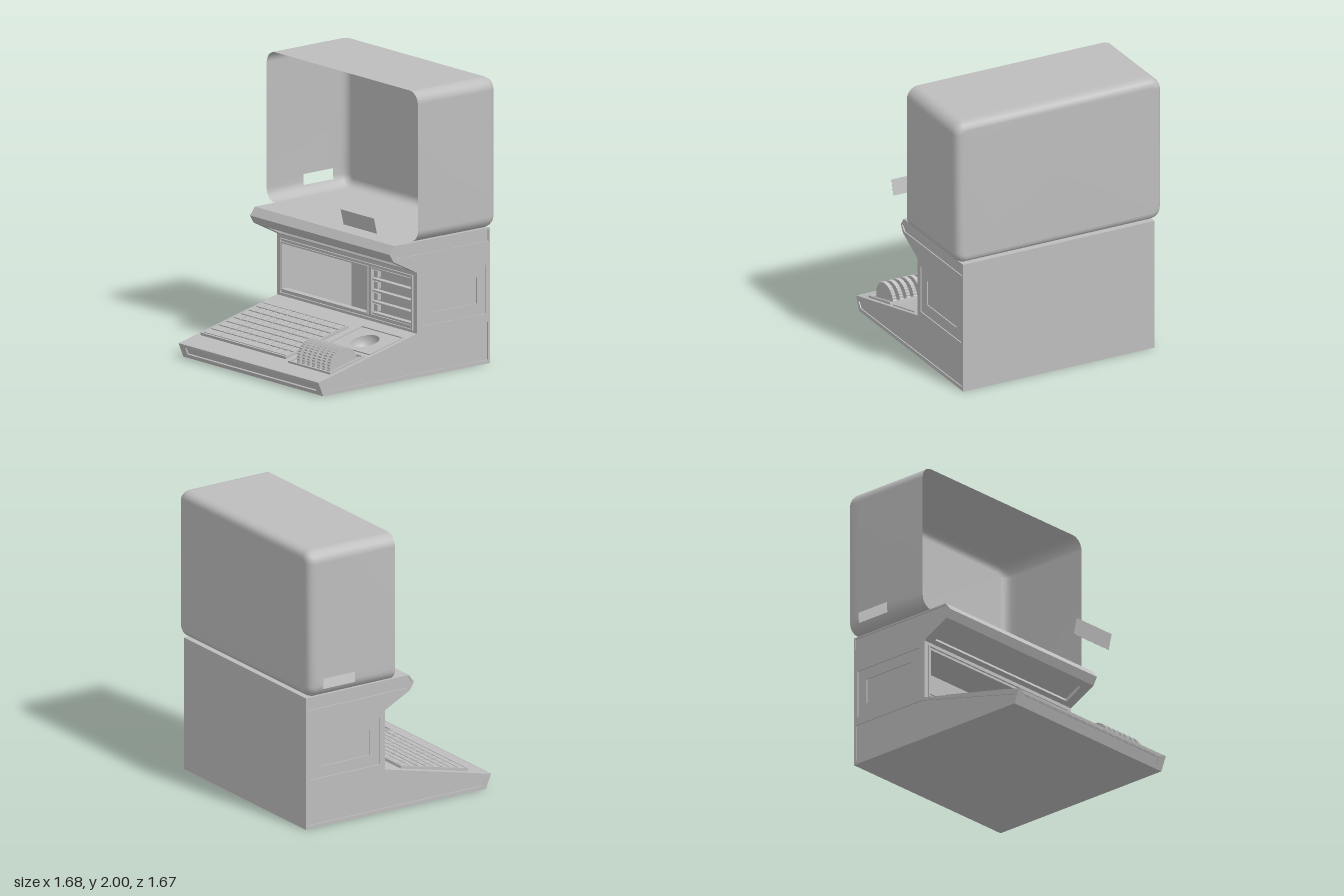
import * as THREE from 'three';

const grey = new THREE.MeshStandardMaterial({ color: 0xbdbdbd, side: THREE.DoubleSide });
grey.name = 'grey plastic';

function add(parent, name, geometry, x = 0, y = 0, z = 0) {
  const m = new THREE.Mesh(geometry, grey);
  m.name = name;
  m.position.set(x, y, z);
  parent.add(m);
  return m;
}
const poly = pts => new THREE.Shape(pts.map(p => new THREE.Vector2(...p)));
const rect = (x0, y0, x1, y1) => [[x0, y0], [x1, y0], [x1, y1], [x0, y1]];
function extrude(outline, holes, depth) {
  const s = poly(outline);
  s.holes = holes.map(h => (Array.isArray(h) ? poly(h) : h));
  return new THREE.ExtrudeGeometry(s, { depth, bevelEnabled: false, curveSegments: 24 });
}
// Raised border around a rectangle
function rim(parent, name, x0, y0, x1, y1, w, h) {
  add(parent, name, extrude(rect(x0, y0, x1, y1), [rect(x0 + w, y0 + w, x1 - w, y1 - w)], h));
}

// Side outline of the cabinet as [z, y]
const P = [[0.72, 0], [0.762, 0.1], [-0.106, 0.305], [-0.106, 0.73], [0.1, 0.835],
  [0.132, 0.89], [0.09, 0.945], [-0.75, 0.945], [-0.75, 0]];
const HALF = 0.7365, INNER = 0.7;

// Wall along edge i of the outline: x across, y along the edge, z outward
function wall(parent, name, i, holes = [], t = 0.02) {
  const [z0, y0] = P[i], [z1, y1] = P[(i + 1) % P.length];
  const len = Math.hypot(z1 - z0, y1 - y0), a = (y1 - y0) / len, b = (z1 - z0) / len;
  const g = new THREE.Group();
  g.name = name;
  g.matrix.makeBasis(new THREE.Vector3(1, 0, 0), new THREE.Vector3(0, a, b), new THREE.Vector3(0, -b, a));
  g.quaternion.setFromRotationMatrix(g.matrix);
  g.position.set(0, y0, z0);
  add(g, name + 'Panel', extrude(rect(-INNER, 0, INNER, len), holes, t), 0, 0, -t);
  parent.add(g);
  return g;
}

// Layered sides with stepped, recessed panels
function addSides(parent) {
  const outer = [
    [[0.729, 0.069], [0.698, 0.027], [-0.732, 0.027], [-0.732, 0.29], [-0.129, 0.29]],
    rect(-0.717, 0.35, -0.145, 0.689),
    [[0.116, 0.89], [0.09, 0.933], [-0.736, 0.933], [-0.736, 0.853], [0.079, 0.853]],
  ];
  const layers = [[INNER, 0.7205, []], [0.7205, 0.7285, [rect(-0.641, 0.43, -0.225, 0.61)]], [0.7285, HALF, outer]];
  for (const s of [1, -1]) for (const [x0, x1, holes] of layers) {
    const geo = extrude(P, holes, x1 - x0).rotateY(-Math.PI / 2);
    add(parent, 'sideWall', geo, s > 0 ? x1 : -x0);
  }
}

function addKeyboard(deck) {
  const x0 = -0.683, x1 = 0.191, pitch = 0.0665, d0 = 0.18;
  rim(deck, 'keyboardRim', -0.695, 0.166, 0.203, 0.732, 0.012, 0.02);
  const lead = [0.17, 0.15, 0.12, 0.1, 0.08, 0.066, 0.066, 0.066];
  lead.forEach((first, r) => {
    let x = x0, n = 0;
    while (x < x1 - 0.01) {
      let w = n === 0 ? first : r === 0 && n === 1 ? 0.5 : pitch;
      if (x1 - x - w < 0.045) w = x1 - x;
      add(deck, 'key', new THREE.BoxGeometry(w - 0.009, 0.057, 0.02), x + w / 2, d0 + 0.0675 * (r + 0.5), 0.01);
      x += w;
      n++;
    }
  });
}

// Open-fronted rounded hood, lofted from rounded rectangles
function hoodGeometry() {
  const rows = [[-0.065, 0], [-0.39, 0], [-0.65, 0], [-0.7, 0], [-0.725, 0.006], [-0.745, 0.018], [-0.757, 0.036], [-0.762, 0.06]];
  const pos = [], idx = [], cy = 1.4755;
  let n = 0;
  for (const [z, inset] of rows) {
    const r = 0.085 - inset, hx = 0.7975 - 0.085, hy = 0.5245 - 0.085;
    const start = pos.length;
    [[1, 1], [-1, 1], [-1, -1], [1, -1]].forEach(([sx, sy], c) => {
      for (let k = 0; k <= 5; k++) {
        const a = (c + k / 5) * Math.PI / 2;
        pos.push(sx * hx + r * Math.cos(a), cy + sy * hy + r * Math.sin(a), z);
      }
      if (c === 1) pos.push(-hx - r, 1.085, z);
    });
    n = (pos.length - start) / 3;
  }
  const last = rows.length - 1;
  for (let r = 0; r < last; r++) for (let i = 0; i < n; i++) {
    if (r === 1 && (i === 12 || i === 13)) continue; // small opening low in one side
    const j = (i + 1) % n, a = r * n + i, b = r * n + j;
    idx.push(a, a + n, b, b, a + n, b + n);
  }
  pos.push(0, cy, -0.762);
  for (let i = 0; i < n; i++) idx.push((last + 1) * n, last * n + (i + 1) % n, last * n + i);
  const g = new THREE.BufferGeometry();
  g.setAttribute('position', new THREE.Float32BufferAttribute(pos, 3));
  g.setIndex(idx);
  g.computeVertexNormals();
  return g;
}

export function createModel() {
  const root = new THREE.Group();
  root.name = 'arcadeConsole';
  const body = new THREE.Group();
  body.name = 'cabinet';
  root.add(body);
  root.rotation.y = -0.1075;
  body.position.x = -0.0315;

  addSides(body);

  // Front lip with a long groove
  const lip = wall(body, 'frontLip', 0, [rect(-0.68, 0.03, 0.68, 0.08)], 0.012);
  add(lip, 'lipGroove', new THREE.BoxGeometry(1.4, 0.1, 0.01), 0, 0.054, -0.017);

  // Sloping deck with a bowl, keyboard and thumb wheels
  const bowlHole = new THREE.Path().absarc(0.488, 0.637, 0.1, 0, Math.PI * 2, true);
  const deck = wall(body, 'deck', 1, [bowlHole]);
  add(deck, 'bowl', new THREE.SphereGeometry(0.1, 32, 12, 0, Math.PI * 2, Math.PI / 2, Math.PI / 2).rotateX(Math.PI / 2), 0.488, 0.637, 0);
  rim(deck, 'bowlRim', 0.27, 0.487, 0.71, 0.8, 0.01, 0.008);
  addKeyboard(deck);
  rim(deck, 'wheelRim', 0.265, 0.133, 0.71, 0.445, 0.012, 0.015);
  for (let i = 0; i < 7; i++) {
    const x = 0.336 + i * 0.053;
    rim(deck, 'wheelSlot', x - 0.02, 0.145, x + 0.02, 0.43, 0.004, 0.006);
    // half wheel with a ribbed edge
    const pts = [[-0.125, 0], [0.125, 0]];
    for (let k = 1; k < 40; k++) {
      const a = k / 40 * Math.PI, r = k % 2 ? 0.125 : 0.119;
      pts.push([r * Math.cos(a), r * Math.sin(a)]);
    }
    const wheel = add(deck, 'thumbWheel', extrude(pts, [], 0.028), x - 0.014, 0.288, 0);
    wheel.setRotationFromMatrix(new THREE.Matrix4().makeBasis(
      new THREE.Vector3(0, 1, 0), new THREE.Vector3(0, 0, 1), new THREE.Vector3(1, 0, 0)));
  }

  // Upright face: open screen bay and four shallow slots (heights measured from y = 0.305)
  const slots = [0.063, 0.141, 0.22, 0.299].map(y => [y, y + 0.067]);
  const face = wall(body, 'uprightFace', 2,
    [rect(-0.68, 0.05, 0.218, 0.368), ...slots.map(([a, b]) => rect(0.27, a, 0.69, b))], 0.04);
  rim(face, 'screenRim', -0.69, 0.04, 0.228, 0.378, 0.01, 0.01);
  rim(face, 'faceRim', -0.7, 0.015, 0.7, 0.4, 0.008, 0.012);
  rim(face, 'slotRim', 0.258, 0.04, 0.7, 0.378, 0.01, 0.01);
  add(face, 'slotBack', new THREE.BoxGeometry(0.45, 0.35, 0.01), 0.48, 0.21, -0.045);
  for (const [a, b] of slots)
    add(face, 'slotButton', new THREE.BoxGeometry(0.035, b - a - 0.02, 0.03), 0.292, (a + b) / 2, -0.025);

  // Brow underside with a long recess, then its nose, top, back and floor
  const brow = wall(body, 'browUnderside', 3, [rect(-0.66, 0.035, 0.66, 0.18)], 0.025);
  add(brow, 'browRecess', new THREE.BoxGeometry(1.4, 0.2, 0.01), 0, 0.11, -0.03);
  ['browNose', 'browEdge', 'cabinetTop', 'cabinetBack', 'cabinetFloor'].forEach((name, k) => wall(body, name, 4 + k));

  // Hood above the cabinet
  add(body, 'displayHood', hoodGeometry());

  // Small tilted plate in front of the hood
  const plate = add(body, 'tiltedPlate', new THREE.BoxGeometry(0.351, 0.113, 0.002), 0.5575, 1.11, 0.255);
  plate.rotation.x = 0.24;

  return root;
}
